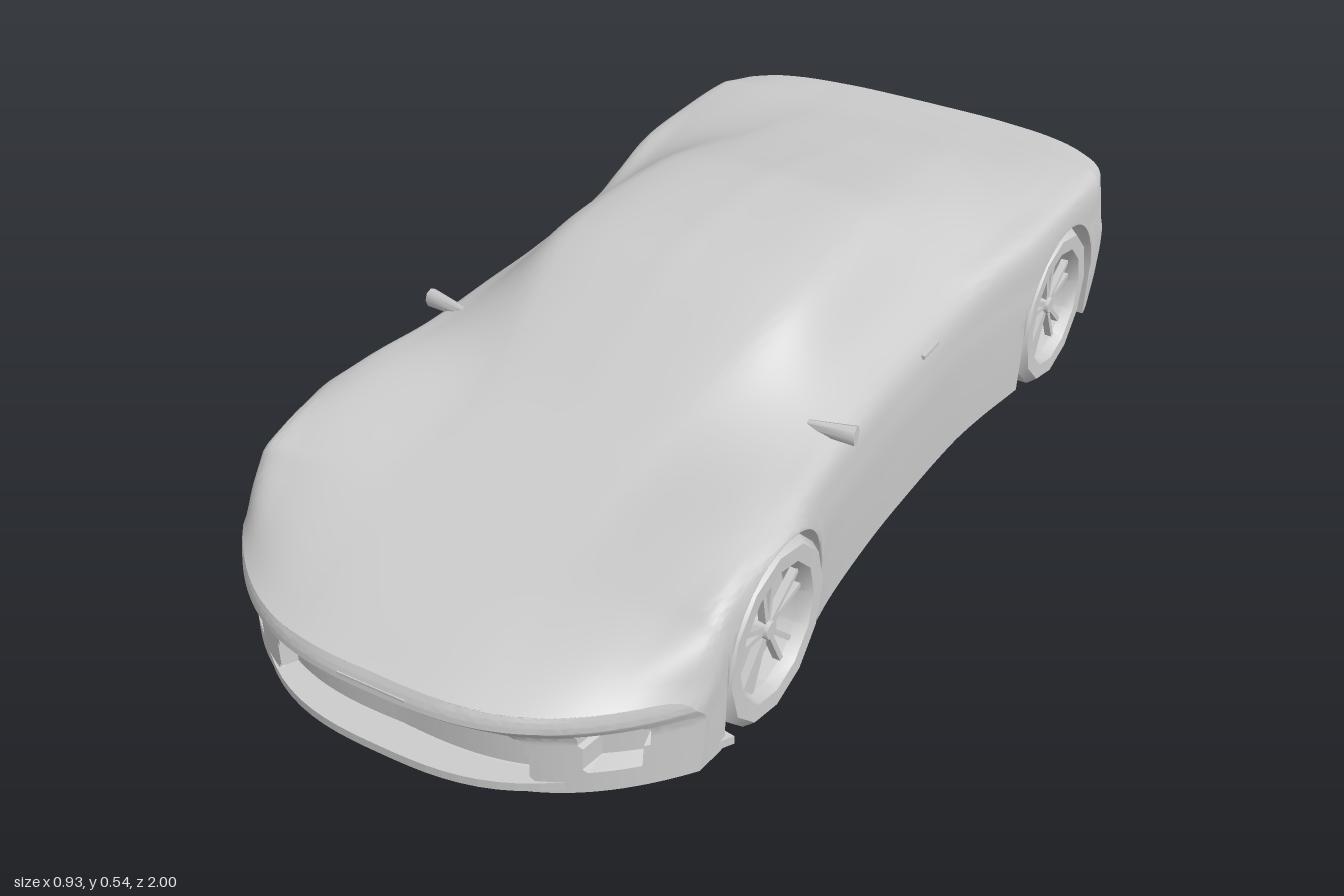
import * as THREE from 'three';
import { toCreasedNormals } from 'three/addons/utils/BufferGeometryUtils.js';

const grey = new THREE.MeshStandardMaterial({ color: 0xcccccc, side: THREE.DoubleSide });
const AXLES = [0.53, -0.645], WHEEL_Y = 0.17, ARCH_R = 0.172, FLOOR = 0.065;
const clamp = THREE.MathUtils.clamp;

// Stations: z, half width, shoulder x y, glass base x y, roof edge x y, centre top
const STATIONS = [
  [1, .45, .43, .222, .33, .228, .2, .23, .232],
  [.9, .452, .435, .272, .34, .27, .2, .268, .27],
  [.75, .455, .44, .315, .365, .317, .2, .313, .312],
  [.62, .455, .442, .35, .385, .362, .2, .353, .353],
  [.46, .453, .435, .362, .38, .378, .2, .378, .382],
  [.3, .43, .415, .36, .36, .385, .22, .435, .45],
  [.13, .418, .405, .362, .335, .418, .25, .495, .522],
  [0, .415, .4, .362, .335, .422, .257, .507, .542],
  [-.235, .418, .405, .367, .34, .42, .24, .505, .535],
  [-.35, .43, .417, .382, .36, .41, .235, .485, .51],
  [-.5, .453, .44, .393, .375, .412, .225, .455, .475],
  [-.65, .456, .445, .393, .39, .411, .21, .435, .445],
  [-.8, .456, .445, .388, .385, .405, .2, .412, .415],
  [-1, .45, .43, .375, .38, .389, .2, .395, .397],
];
// Bumper outlines seen from the side: y, inset in z
const FRONT = [[.065, .03], [.09, .03], [.175, .03], [.2, 0], [.215, .003], [.235, .015]];
const REAR = [[.065, .08], [.13, .03], [.2, 0], [.245, .008], [.275, .045], [.35, .06], [.37, .045], [.4, .05]];

function linear(table, y) {
  const i = table.findIndex(p => p[0] > y);
  if (i === 0) return table[0][1];
  if (i < 0) return table.at(-1)[1];
  const [a, b] = [table[i - 1], table[i]];
  return a[1] + (b[1] - a[1]) * (y - a[0]) / (b[0] - a[0]);
}

// Smooth interpolation of every station value along z
function station(z) {
  const n = STATIONS.length;
  let i = 0;
  while (i < n - 2 && z < STATIONS[i + 1][0]) i++;
  const p = STATIONS[Math.max(i - 1, 0)], a = STATIONS[i], b = STATIONS[i + 1], q = STATIONS[Math.min(i + 2, n - 1)];
  const h = b[0] - a[0], t = (z - a[0]) / h;
  return a.map((v, k) => {
    const m0 = (b[k] - p[k]) / (b[0] - p[0]) * h, m1 = (q[k] - v) / (q[0] - a[0]) * h;
    return v * (2 * t ** 3 - 3 * t * t + 1) + m0 * (t ** 3 - 2 * t * t + t) + b[k] * (3 * t * t - 2 * t ** 3) + m1 * (t ** 3 - t * t);
  });
}

function archY(z) {
  for (const c of AXLES) if (Math.abs(z - c) < ARCH_R) return WHEEL_Y + Math.sqrt(ARCH_R ** 2 - (z - c) ** 2);
  return FLOOR;
}

// Outer skin of one side, from sill to roof centre
const SUB = 8;
function skin(z) {
  const [, w, ax, ay, bx, by, cx, cy, ty] = station(z);
  const arch = archY(z), y2 = Math.min(.29, ay - .03);
  const pts = [
    [w * .99, arch], [w, Math.max((FLOOR + y2) / 2, arch + .003)], [w, Math.max(y2, arch + .006)],
    [ax, Math.max(ay, arch + .01)], [bx, by], [cx, cy], [cx * .75, cy + (ty - cy) * .6], [0, ty],
  ];
  return new THREE.CatmullRomCurve3(pts.map(p => new THREE.Vector3(p[0], p[1], 0))).getPoints(SUB * 7).map(p => [p.x, p.y]);
}

// Rounds the nose and tail in plan and gives the bumpers their outline
function place(x, y, z) {
  const f = clamp((z - .71) / .29, 0, 1), r = clamp((-z - .825) / .175, 0, 1), u = Math.abs(x) / .455;
  return [x, y, z - f * (.23 * u ** 2.8 + linear(FRONT, y) * (1 - .5 * u)) + r * (.12 * u ** 4 + linear(REAR, y) * (1 - .6 * u ** 4))];
}

function surface(nI, nJ, point) {
  const pos = [], idx = [];
  for (let i = 0; i <= nI; i++) for (let j = 0; j <= nJ; j++) pos.push(...point(i, j));
  for (let i = 0; i < nI; i++) for (let j = 0; j < nJ; j++) {
    const a = i * (nJ + 1) + j, b = a + nJ + 1;
    idx.push(a, b, a + 1, b, b + 1, a + 1);
  }
  const g = new THREE.BufferGeometry();
  g.setAttribute('position', new THREE.Float32BufferAttribute(pos, 3));
  g.setIndex(idx);
  return toCreasedNormals(g, .6);
}

function add(parent, name, geometry, x = 0, y = 0, z = 0) {
  const m = new THREE.Mesh(geometry, grey);
  m.name = name;
  m.position.set(x, y, z);
  parent.add(m);
  return m;
}

// Body shell with wheel wells
function bodyShell() {
  const zs = [];
  for (let i = 0; i <= 80; i++) zs.push(1 - i * .025);
  for (const c of AXLES) {
    for (let i = 1; i < 16; i++) zs.push(c + ARCH_R * Math.cos(i * Math.PI / 16));
    for (const s of [-1, 1]) zs.push(c + s * (ARCH_R - .0003), c + s * (ARCH_R + .0003));
  }
  zs.sort((a, b) => b - a);
  const rings = zs.map(z => {
    const half = [[0, FLOOR], [.3, FLOOR], [.3, archY(z)], ...skin(z)];
    const ring = [...half, ...half.slice(1, -1).reverse().map(p => [-p[0], p[1]])];
    return [...ring, ring[0]].map(p => place(p[0], p[1], z));
  });
  return surface(rings.length - 1, rings[0].length - 1, (i, j) => rings[i][j]);
}

// Openings pressed into the bumpers
function frontRecess(x, y) {
  const u = Math.abs(x);
  const grille = y > .088 && y < .183 && u < Math.min(.245 - (y - .09) * .12, .2 + (.183 - y) * 1.8);
  const intake = y > .105 && y < .183 && u < .395 - (.183 - y) * .2 && u > .315 + (.183 - y) * .1;
  return grille ? .035 : intake ? .04 : 0;
}
const rearRecess = (x, y) => (Math.abs(x) < .28 && y < .135 && y > .07 ? -.035 : 0);

function endCap(z, recess) {
  const rows = skin(z), cols = 128;
  return surface(cols, rows.length - 1, (i, j) => {
    const [w, y] = rows[j], x = w * (i / cols * 2 - 1) * z;
    const p = place(x, y, z);
    p[2] -= recess(x, y);
    return p;
  });
}

// Wheel with its outer face towards +x
function makeWheel(name) {
  const wheel = new THREE.Group();
  wheel.name = name;
  const profile = [[.112, -.075], [.158, -.075], [.166, -.06], [.166, .055], [.152, .073], [.122, .072], [.112, .05], [.112, -.075]];
  const tyre = new THREE.LatheGeometry(profile.map(p => new THREE.Vector2(...p)), 12);
  add(wheel, 'tyre', toCreasedNormals(tyre.rotateZ(-Math.PI / 2), .6));
  add(wheel, 'rimBack', new THREE.CylinderGeometry(.113, .113, .02, 12).rotateZ(-Math.PI / 2), .01);
  add(wheel, 'hub', new THREE.CylinderGeometry(.016, .024, .04, 10).rotateZ(-Math.PI / 2), .04);
  for (let i = 0; i < 5; i++) for (const s of [-1, 1]) {
    const spoke = new THREE.BoxGeometry(.014, .1, .01).translate(0, .063, 0).rotateX(s * .17 + i * Math.PI * .4);
    add(wheel, 'spoke', spoke, .046);
  }
  return wheel;
}

// Lip that follows the nose in plan
function splitter() {
  const edge = (w, front, back) => Array.from({ length: 33 }, (_, i) => {
    const u = i / 16 - 1;
    return new THREE.Vector2(w * u, front - back * Math.abs(u) ** 2.8);
  });
  const shape = new THREE.Shape([...edge(.465, .995, .3), ...edge(.435, .93, .24).reverse()]);
  const g = new THREE.ExtrudeGeometry(shape, { depth: .016, bevelEnabled: false });
  return g.rotateX(Math.PI / 2).translate(0, .088, 0);
}

export function createModel() {
  const car = new THREE.Group();
  car.name = 'sportsCar';
  add(car, 'body', bodyShell());
  add(car, 'frontBumper', endCap(1, frontRecess));
  add(car, 'rearBumper', endCap(-1, rearRecess));
  add(car, 'frontSplitter', splitter());
  add(car, 'noseSlot', new THREE.BoxGeometry(.13, .004, .006), 0, .212, .996);

  for (const s of [-1, 1]) {
    const side = s > 0 ? 'left' : 'right';
    AXLES.forEach((z, i) => {
      const wheel = makeWheel(side + (i ? 'RearWheel' : 'FrontWheel'));
      wheel.position.set(s * .379, WHEEL_Y, z);
      if (s < 0) wheel.rotation.y = Math.PI;
      car.add(wheel);
    });

    // Mirror housing tapering into its stalk
    const housing = new THREE.CylinderGeometry(.019, .011, .085, 8).scale(1, 1, .8).rotateZ(-s * Math.PI / 2);
    add(car, side + 'Mirror', toCreasedNormals(housing, .8), s * .397, .382, .255).rotation.y = s * .15;
    add(car, side + 'DoorHandle', new THREE.BoxGeometry(.012, .008, .06), s * .407, .348, -.105);

    // Exhaust tip
    const tip = new THREE.CylinderGeometry(.024, .024, .06, 8, 1, true).rotateX(Math.PI / 2);
    add(car, side + 'Exhaust', tip, s * .2, .105, -.945);
    add(car, side + 'ExhaustCore', new THREE.CylinderGeometry(.016, .016, .05, 8).rotateX(Math.PI / 2), s * .2, .105, -.935);
  }
  return car;
}
